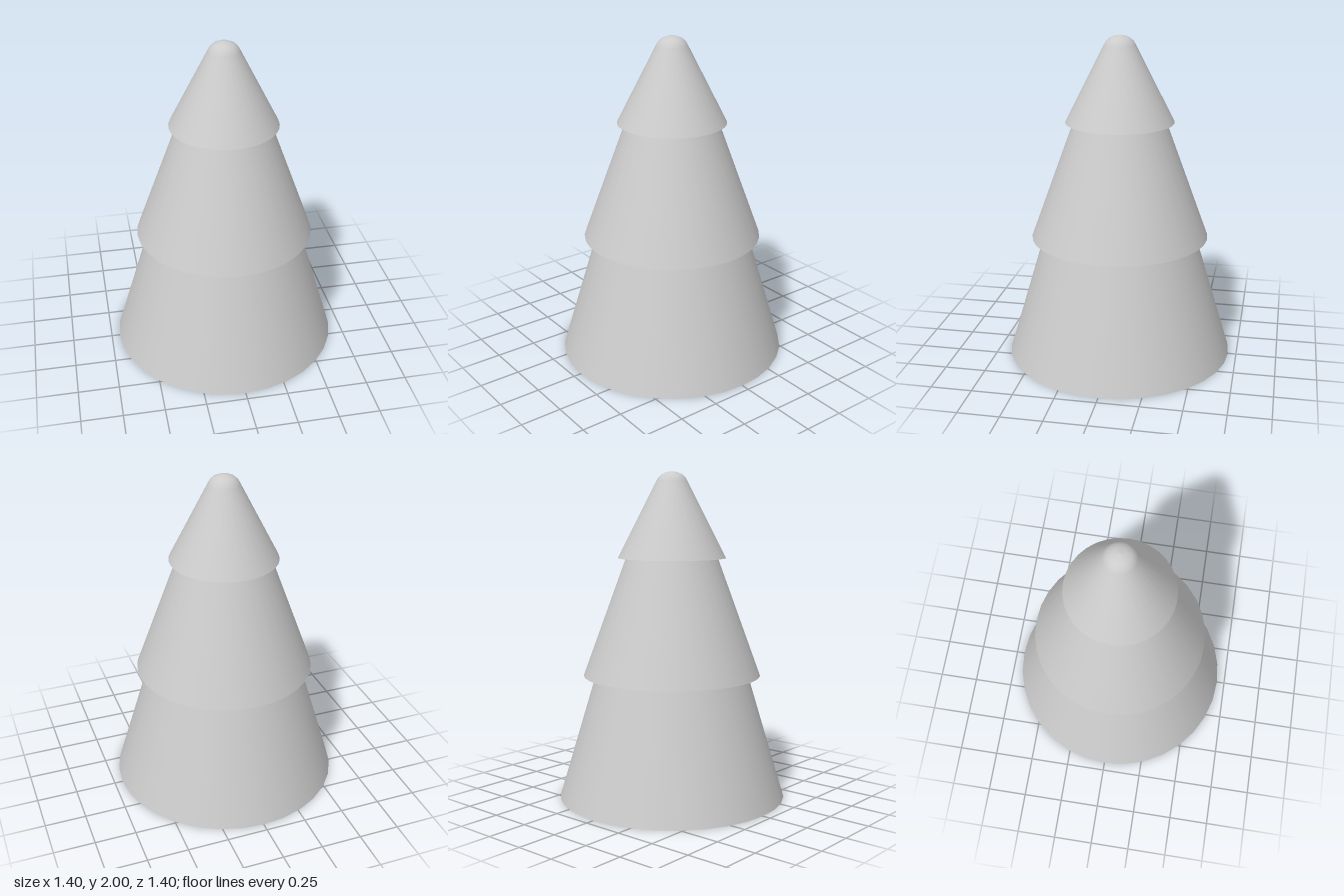
import * as THREE from 'three';

const SIDES = 32;

export function createModel() {
  const group = new THREE.Group();
  group.name = 'tieredTree';
  const material = new THREE.MeshStandardMaterial({ color: 0xcccccc });

  const addLathe = (name, profile) => {
    const points = profile.map(([r, y]) => new THREE.Vector2(r, y));
    const mesh = new THREE.Mesh(new THREE.LatheGeometry(points, SIDES), material);
    mesh.name = name;
    group.add(mesh);
  };

  // Sloping sides; each lower tier runs up a little inside the one above
  addLathe('lowerTier', [[0.699, 0], [0.463, 0.788]]);
  addLathe('middleTier', [[0.545, 0.76], [0.273, 1.502]]);

  // Upper tier blends into a small rounded tip
  addLathe('upperTier', [
    [0.33, 1.48], [0.095, 1.941], [0.083, 1.963], [0.063, 1.982], [0.034, 1.995], [0, 2],
  ]);

  // Hollowed base, and ledges that slope up and inward under each overhang
  addLathe('base', [[0, 0.135], [0.2, 0.12], [0.45, 0.07], [0.699, 0]]);
  addLathe('middleLedge', [[0.463, 0.788], [0.545, 0.76]]);
  addLathe('upperLedge', [[0.273, 1.502], [0.33, 1.48]]);

  return group;
}
